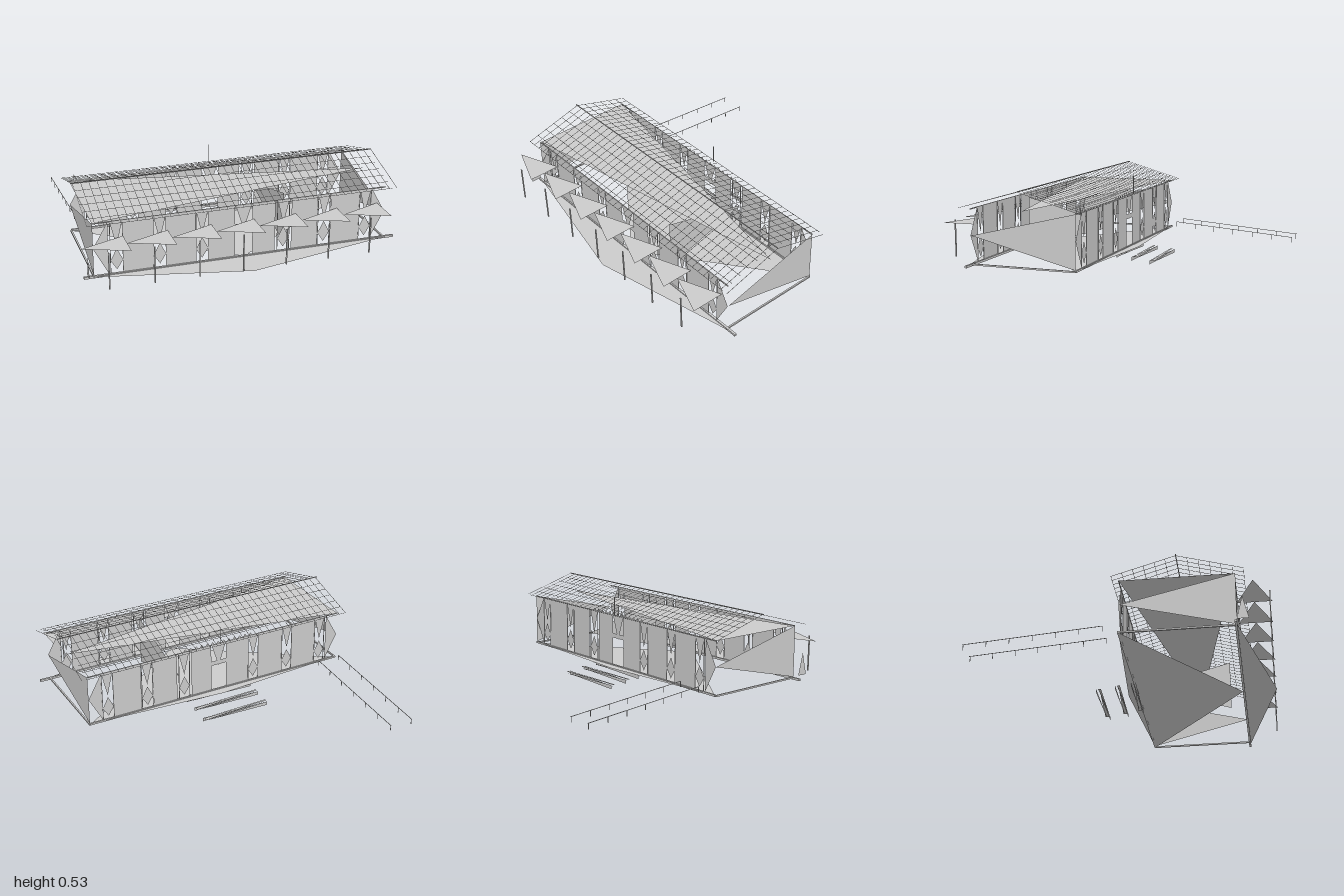
import * as THREE from 'three';

const mat = new THREE.MeshStandardMaterial({ color: 0xcccccc, side: THREE.DoubleSide, flatShading: true });

function add(parent, geometry, name) {
  const mesh = new THREE.Mesh(geometry, mat);
  mesh.name = name;
  parent.add(mesh);
  return mesh;
}

// Single flat triangle from three corners
function tri(parent, name, a, b, c) {
  const g = new THREE.BufferGeometry();
  g.setAttribute('position', new THREE.Float32BufferAttribute([...a, ...b, ...c], 3));
  g.computeVertexNormals();
  return add(parent, g, name);
}

// Thin square bar between two points
function bar(parent, name, a, b, t = 0.003) {
  const p = new THREE.Vector3(...a), q = new THREE.Vector3(...b);
  const m = add(parent, new THREE.BoxGeometry(t, t, p.distanceTo(q)), name);
  m.position.copy(p).add(q).multiplyScalar(0.5);
  m.lookAt(q);
  return m;
}

// Upright flat panel facing z
function panel(parent, name, x0, x1, y0, y1, z) {
  const m = add(parent, new THREE.PlaneGeometry(x1 - x0, y1 - y0), name);
  m.position.set((x0 + x1) / 2, (y0 + y1) / 2, z);
}

const BACK = 0.02, FRONT = 0.695, LOW = 0.07, TOP = 0.4, MID = 0.24;

// Long wall: solid panels with triangular window infill between them
function longWall(z) {
  const wall = new THREE.Group();
  const panels = [[-0.73, -0.55], [-0.47, -0.29], [-0.21, -0.045], [0.065, 0.21], [0.315, 0.485], [0.57, 0.76]];
  panels.forEach(([a, b]) => panel(wall, 'wallPanel', a, b, LOW, TOP, z));
  const windows = [-0.77, -0.51, -0.25, 0.01, 0.263, 0.527, 0.8];
  windows.forEach((x, i) => {
    const w = i === 3 ? 0.052 : 0.038;
    tri(wall, 'windowHead', [x - w, TOP, z], [x, MID, z], [x + w, TOP, z]);
    if (i === 3) return;
    tri(wall, 'windowSill', [x - w, 0.15, z], [x + w, 0.15, z], [x, 0.225, z]);
    tri(wall, 'windowApron', [x - w, 0.15, z], [x, 0.09, z], [x + w, 0.15, z]);
    for (const s of [-1, 1]) bar(wall, 'windowJamb', [x + s * w, LOW, z], [x + s * w, TOP, z], 0.004);
  });
  panel(wall, 'doorLintel', -0.045, 0.065, 0.25, 0.28, z);
  // pointed end pieces
  tri(wall, 'endPanel', [-0.82, LOW, z], [-0.82, TOP, z], [-0.91, MID, z]);
  tri(wall, 'endPanel', [0.84, LOW, z], [0.84, TOP, z], [0.93, MID, z]);
  bar(wall, 'wallPlate', [-0.91, TOP, z], [0.93, TOP, z], 0.006);
  return wall;
}

function roofFrame() {
  const roof = new THREE.Group();
  const ridge = [0.52, 0.36];
  for (const [ey, ez] of [[0.41, 0.75], [0.41, -0.02]]) {
    const at = (x, t) => [x, ridge[0] + (ey - ridge[0]) * t, ridge[1] + (ez - ridge[1]) * t];
    for (let i = 0; i < 40; i++) {
      const x = -0.95 + i * 0.0495;
      bar(roof, 'rafter', at(x, 0), at(x, 1), 0.002);
    }
    for (let k = 1; k <= 6; k++) bar(roof, 'purlin', at(-0.95, k / 6), at(0.95, k / 6), 0.002);
  }
  bar(roof, 'ridgeBeam', [-0.96, 0.523, 0.36], [0.98, 0.523, 0.36], 0.005);
  return roof;
}

function veranda() {
  const v = new THREE.Group();
  tri(v, 'verandaDeck', [-0.97, 0.063, 0.69], [0.01, 0.063, 0.905], [1, 0.063, 0.69]);
  bar(v, 'deckBeam', [-0.97, 0.062, 0.695], [1, 0.062, 0.695], 0.014);
  for (let i = 0; i < 7; i++) {
    const x = -1 + i * 0.268;
    tri(v, 'awning', [x, 0.3, 0.8], [x + 0.27, 0.3, 0.905], [x + 0.27, 0.3, 0.695]);
    bar(v, 'awningPost', [x + 0.14, 0.07, 0.89], [x + 0.14, 0.3, 0.893], 0.007);
  }
  tri(v, 'verandaBrace', [-0.95, 0.085, 0.7], [-0.95, 0.085, 0.77], [-0.95, 0.23, 0.735]);
  return v;
}

// Shallow steps at the back door
function backSteps() {
  const s = new THREE.Group();
  [[-0.22, 0.025], [-0.1, 0.04], [0, 0.055]].forEach(([z, y]) => {
    tri(s, 'stepTread', [-0.22, y, z + 0.02], [0.24, y, z - 0.012], [0.24, y, z + 0.012]);
    tri(s, 'stepTread', [-0.22, y, z + 0.03], [-0.22, y, z + 0.012], [0.2, y, z + 0.02]);
    tri(s, 'stepRiser', [-0.22, y - 0.025, z], [-0.22, y, z], [0.24, y - 0.012, z]);
    tri(s, 'stepRiser', [0.245, y - 0.025, z + 0.02], [0.245, y, z + 0.02], [-0.22, y - 0.012, z + 0.02]);
  });
  return s;
}

// Sloping handrails running out behind the building
function rampRails() {
  const r = new THREE.Group();
  for (const x of [-0.87, -0.71]) {
    bar(r, 'handrail', [x, 0.13, -0.08], [x, 0.062, -0.908], 0.003);
    for (let i = 0; i < 7; i++) {
      const z = -0.08 - i * 0.137, y = 0.13 - i * 0.0113;
      bar(r, 'railPost', [x, y, z], [x, y - 0.035, z], 0.003);
    }
  }
  return r;
}

export function createModel() {
  const model = new THREE.Group();
  model.name = 'longHouse';
  const put = (group, name) => { group.name = name; model.add(group); };

  put(longWall(FRONT), 'frontWall');
  put(longWall(BACK), 'backWall');
  put(roofFrame(), 'roofFrame');
  put(veranda(), 'veranda');
  put(backSteps(), 'backSteps');
  put(rampRails(), 'rampRails');

  // Floor, ceiling and back ledge
  tri(model, 'floor', [-0.91, 0.06, BACK], [0.02, 0.06, 0.69], [0.93, 0.06, BACK]);
  tri(model, 'ceiling', [-0.91, TOP, BACK], [-0.91, TOP, 0.69], [0.93, TOP, 0.36]);
  tri(model, 'backLedge', [-0.91, 0.065, BACK], [0.93, 0.065, BACK], [0.01, 0.065, -0.045]);

  // End walls and inner partition
  tri(model, 'leftEndWall', [0.93, LOW, BACK], [0.93, TOP, BACK], [0.93, MID, 0.69]);
  tri(model, 'rightEndWall', [-0.91, LOW, 0.7], [-0.91, TOP, 0.7], [-0.91, MID, BACK]);
  tri(model, 'partition', [0.3, LOW, 0.6], [0.3, TOP, 0.6], [0.3, MID, BACK]);

  // Sills around the base
  for (const x of [-0.91, 0.93]) bar(model, 'endSill', [x, 0.062, BACK], [x, 0.066, 0.695], 0.01);
  bar(model, 'backSill', [-0.91, 0.065, BACK], [0.93, 0.065, BACK], 0.012);

  // Small pointed crest over the back entrance
  for (let i = 0; i < 13; i++) {
    const x = -0.24 + i * 0.04;
    tri(model, 'crestTooth', [x, 0.403, BACK], [x + 0.028, 0.403, BACK], [x + 0.014, 0.422, BACK]);
  }
  bar(model, 'pole', [0.01, 0.41, -0.01], [0.01, 0.53, -0.01], 0.003);

  return model;
}
